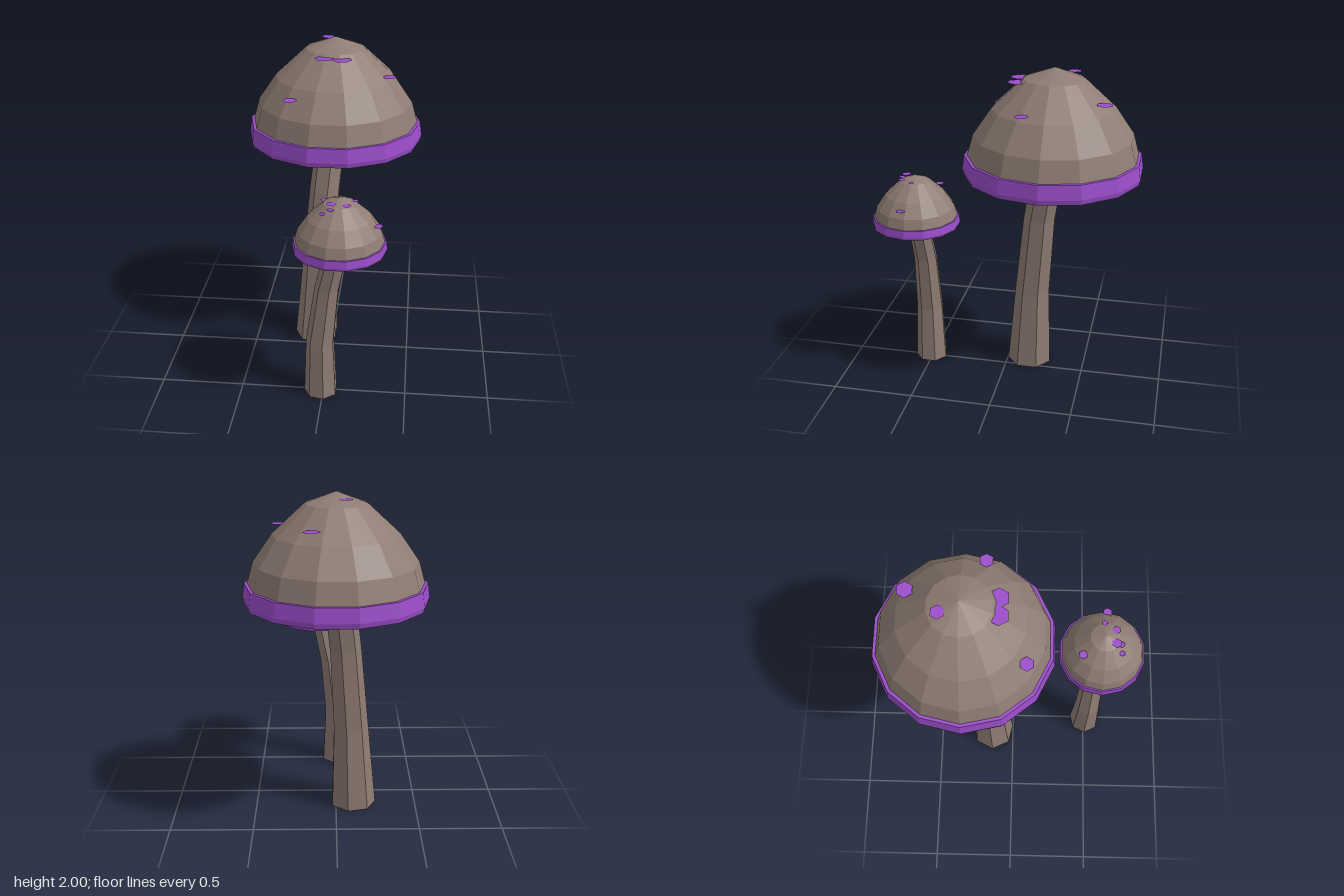
import * as THREE from 'three';

const brown = new THREE.MeshStandardMaterial({ color: 0x8f7d74, flatShading: true });
brown.name = 'brownFlesh';
const purple = new THREE.MeshStandardMaterial({ color: 0x9b4dca, flatShading: true, side: THREE.DoubleSide });
purple.name = 'purpleTrim';

function part(name, geometry, material) {
  const mesh = new THREE.Mesh(geometry, material);
  mesh.name = name;
  return mesh;
}

// 14-sided turned form from [radius, height] pairs
function turned(profile) {
  const points = profile.map(([r, y]) => new THREE.Vector2(r, y));
  return new THREE.LatheGeometry(points, 14, Math.PI / 2);
}

// Bent seven-sided stem through four rings of [x, y, z, radius]
function stemGeometry(rings) {
  const geo = new THREE.CylinderGeometry(1, 1, 1, 7, 3, false, -Math.PI / 2);
  const p = geo.attributes.position;
  for (let i = 0; i < p.count; i++) {
    const [x, y, z, r] = rings[Math.round((p.getY(i) + 0.5) * 3)];
    p.setXYZ(i, x + p.getX(i) * r, y, z + p.getZ(i) * r);
  }
  geo.computeVertexNormals();
  return geo;
}

// Cap measured from its lower rim
function makeCap(scale) {
  const cap = new THREE.Group();
  cap.name = 'cap';
  cap.add(part('dome', turned([[0.51, 0.112], [0.475, 0.24], [0.365, 0.4], [0.18, 0.572], [0, 0.64]]), brown));
  // Hollow underside, lip and outer band
  cap.add(part('rimAndUnderside', turned([
    [0.1, 0.2], [0.51, 0.11], [0.533, 0], [0.54, 0.03], [0.528, 0.115], [0.505, 0.115],
  ]), purple));
  const collar = part('collar', new THREE.CircleGeometry(0.105, 14), brown);
  collar.rotation.x = Math.PI / 2;
  collar.position.y = 0.197;
  cap.add(collar);
  cap.scale.setScalar(scale);
  return cap;
}

function makeMushroom(name, { scale, capAt, stem, spots }) {
  const group = new THREE.Group();
  group.name = name;
  const cap = makeCap(scale);
  cap.position.set(...capAt);
  group.add(cap, part('stem', stemGeometry(stem), brown));
  // Flat hexagonal spots hovering just above the dome
  for (const [x, y, z, r] of spots) {
    const spot = part('spot', new THREE.CircleGeometry(r, 6), purple);
    spot.rotation.x = -Math.PI / 2;
    spot.position.set(x, y, z);
    group.add(spot);
  }
  return group;
}

export function createModel() {
  const model = new THREE.Group();
  model.name = 'mushrooms';
  model.add(makeMushroom('largeMushroom', {
    scale: 1,
    capAt: [0, 1.36, -0.285],
    stem: [
      [-0.107, 0, -0.142, 0.143], [-0.09, 0.52, -0.158, 0.112],
      [-0.055, 1.04, -0.202, 0.099], [0, 1.56, -0.29, 0.095],
    ],
    spots: [
      [0.135, 1.83, -0.592, 0.05], [-0.054, 1.97, -0.395, 0.042], [0.337, 1.795, -0.155, 0.042],
      [-0.234, 1.71, 0.077, 0.043], [-0.045, 1.92, -0.077, 0.06], [0.058, 1.915, -0.077, 0.06],
    ],
  }));
  model.add(makeMushroom('smallMushroom', {
    scale: 0.5,
    capAt: [0.1, 1, 0.545],
    stem: [
      [-0.013, 0, 0.508, 0.102], [-0.015, 0.37, 0.51, 0.086],
      [0.027, 0.73, 0.515, 0.074], [0.108, 1.1, 0.545, 0.066],
    ],
    spots: [
      [0.006, 1.24, 0.416, 0.028], [0.187, 1.3, 0.541, 0.018], [0.315, 1.165, 0.571, 0.03],
      [0.144, 1.3, 0.609, 0.025], [0.058, 1.305, 0.609, 0.03], [0.011, 1.26, 0.646, 0.018],
      [0.058, 1.285, 0.64, 0.02],
    ],
  }));
  return model;
}
